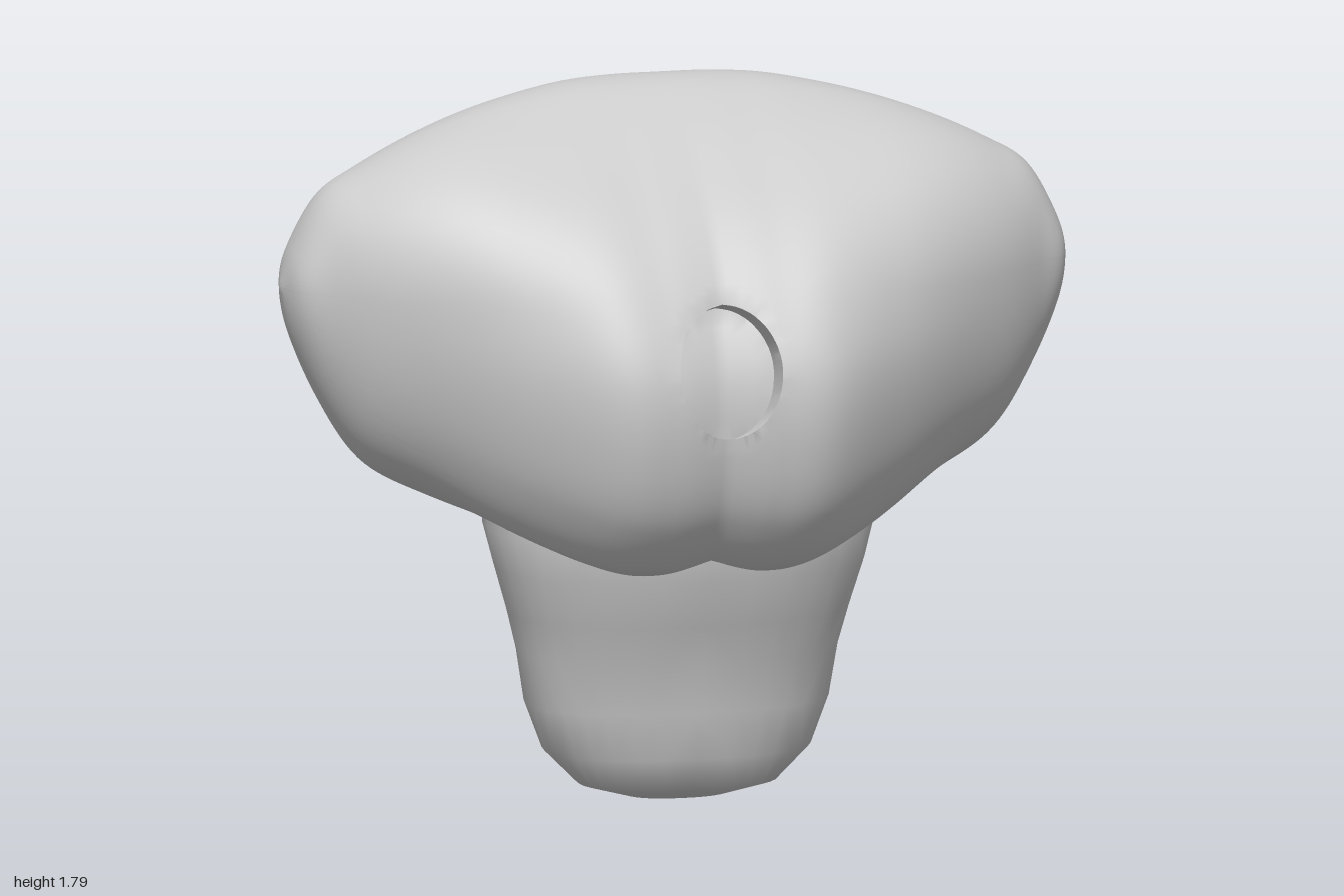
import * as THREE from 'three';
import { toCreasedNormals } from 'three/addons/utils/BufferGeometryUtils.js';

const material = new THREE.MeshStandardMaterial({ color: 0xcccccc });

// Skin a list of closed rings with quads, each split along its shorter diagonal.
function loft(rings, crease) {
  const n = rings[0].length;
  const points = rings.flat();
  const index = [];
  for (let i = 0; i < rings.length - 1; i++) {
    for (let j = 0; j < n; j++) {
      const a = i * n + j, b = i * n + ((j + 1) % n), c = a + n, d = b + n;
      if (points[b].distanceTo(points[c]) < points[a].distanceTo(points[d])) {
        index.push(a, c, b, b, c, d);
      } else {
        index.push(a, c, d, a, d, b);
      }
    }
  }
  const geometry = new THREE.BufferGeometry().setFromPoints(points);
  geometry.setIndex(index);
  return toCreasedNormals(geometry, crease);
}

function addMesh(group, name, geometry) {
  const mesh = new THREE.Mesh(geometry, material);
  mesh.name = name;
  group.add(mesh);
  return mesh;
}

// Sink an oval socket with a crisp rim into the front of the head.
function sinkSocket(p) {
  if (p.z < 0.2) return p;
  const cy = 1.17;
  const ry = p.y > cy ? 0.15 : 0.175;
  const d = Math.hypot(p.x / 0.13, (p.y - cy) / ry);
  if (d > 1.16) return p;
  const inside = d < 1;
  if (d > 0.86) {
    const k = (inside ? 0.985 : 1) / d;
    p.x *= k;
    p.y = cy + (p.y - cy) * k;
  }
  if (inside) {
    p.y -= 0.02;
    p.z -= 0.08;
  }
  return p;
}

// Wide head: a tilted side profile in the middle that turns into upright ovals at the tips.
function headGeometry() {
  const mid = 1.32;
  // Profile as [z, y], from the top, down the back and up the front
  const profile = new THREE.CatmullRomCurve3([
    [-0.04, 1.785], [-0.15, 1.785], [-0.28, 1.71], [-0.43, 1.59], [-0.5, 1.45],
    [-0.55, 1.18], [-0.51, 1.02], [-0.34, 0.88], [-0.15, 0.8], [0.15, 0.69],
    [0.37, 0.62], [0.53, 0.76], [0.6, 0.95], [0.605, 1.15], [0.52, 1.35],
    [0.4, 1.5], [0.25, 1.62], [0.1, 1.72],
  ].map(([z, y]) => new THREE.Vector3(0, y, z)), true).getSpacedPoints(200).slice(0, -1)
    .map(({ y, z }) => {
      const unit = new THREE.Vector2(
        z / (z > 0 ? 0.61 : 0.55), (y - mid) / (y > mid ? 0.47 : 0.7));
      return { unit, oval: unit.clone().normalize() };
    });

  // Stations from the middle crease to the tip: x, front, back, top, bottom
  const stations = [
    [0, 0.58, 0.525, 1.79, 0.64],
    [0.13, 0.605, 0.555, 1.787, 0.62],
    [0.28, 0.6, 0.515, 1.775, 0.635],
    [0.48, 0.48, 0.425, 1.735, 0.69],
    [0.65, 0.365, 0.315, 1.68, 0.78],
    [0.8, 0.255, 0.21, 1.61, 0.88],
    [0.9, 0.165, 0.145, 1.545, 1.03],
    [0.97, 0.1, 0.1, 1.42, 1.19],
    [1, 0, 0, 1.32, 1.32],
  ];
  const depth = new THREE.CatmullRomCurve3(
    stations.map(([x, f, b]) => new THREE.Vector3(x, f, b)), false, 'catmullrom');
  const height = new THREE.CatmullRomCurve3(
    stations.map(([x, , , t, b]) => new THREE.Vector3(x, t, b)), false, 'catmullrom');

  const steps = (stations.length - 1) * 8;
  const rings = [];
  for (let i = -steps; i <= steps; i++) {
    const u = Math.abs(i) / steps;
    const d = depth.getPoint(u), h = height.getPoint(u);
    const blend = THREE.MathUtils.smoothstep(d.x, 0.15, 0.8);
    rings.push(profile.map(({ unit, oval }) => {
      const q = unit.clone().lerp(oval, blend);
      return sinkSocket(new THREE.Vector3(
        Math.sign(i) * d.x,
        mid + q.y * (q.y > 0 ? h.y - mid : mid - h.z),
        q.x * (q.x > 0 ? d.y : d.z)));
    }));
  }
  return loft(rings, 0.75);
}

// Tapered body: rounded oval rings stacked upwards.
function bodyGeometry() {
  // y, half width, front, back
  const levels = [
    [0, 0, 0.03, 0.03], [0.01, 0.13, 0.12, -0.06], [0.045, 0.25, 0.21, -0.13],
    [0.13, 0.335, 0.25, -0.17], [0.25, 0.38, 0.27, -0.19], [0.38, 0.4, 0.3, -0.21],
    [0.48, 0.425, 0.34, -0.23], [0.6, 0.46, 0.38, -0.25], [0.7, 0.485, 0.4, -0.28],
    [0.88, 0.48, 0.4, -0.34], [1.0, 0, 0, 0],
  ];
  const n = 32;
  const round = (v) => Math.sign(v) * Math.abs(v) ** 0.85;
  return loft(levels.map(([y, w, front, back]) => Array.from({ length: n }, (_, j) => {
    const a = (j / n) * Math.PI * 2;
    return new THREE.Vector3(
      -w * round(Math.sin(a)), y, (front + back) / 2 + ((front - back) / 2) * round(Math.cos(a)));
  })), 1.2);
}

export function createModel() {
  const group = new THREE.Group();
  group.name = 'creature';
  addMesh(group, 'head', headGeometry());
  addMesh(group, 'body', bodyGeometry());

  // Row of four-sided spikes down the back: base y, z, tip y, z, half width, half height
  const spikes = new THREE.Group();
  spikes.name = 'backSpikes';
  const up = new THREE.Vector3(0, 1, 0);
  [
    [1.56, -0.39, 1.65, -0.485, 0.125, 0.1],
    [1.32, -0.5, 1.34, -0.605, 0.1, 0.085],
    [1.04, -0.46, 1.0, -0.565, 0.085, 0.09],
    [0.74, -0.27, 0.72, -0.36, 0.05, 0.115],
    [0.39, -0.19, 0.38, -0.27, 0.05, 0.12],
  ].forEach(([y, z, tipY, tipZ, w, h]) => {
    const base = new THREE.Vector3(0, y, z), tip = new THREE.Vector3(0, tipY, tipZ);
    const axis = tip.clone().sub(base);
    const spike = addMesh(spikes, 'spike', new THREE.ConeGeometry(1, 1, 4));
    spike.scale.set(w, axis.length(), h);
    spike.quaternion.setFromUnitVectors(up, axis.normalize());
    spike.position.copy(base).add(tip).multiplyScalar(0.5);
  });
  group.add(spikes);
  return group;
}
